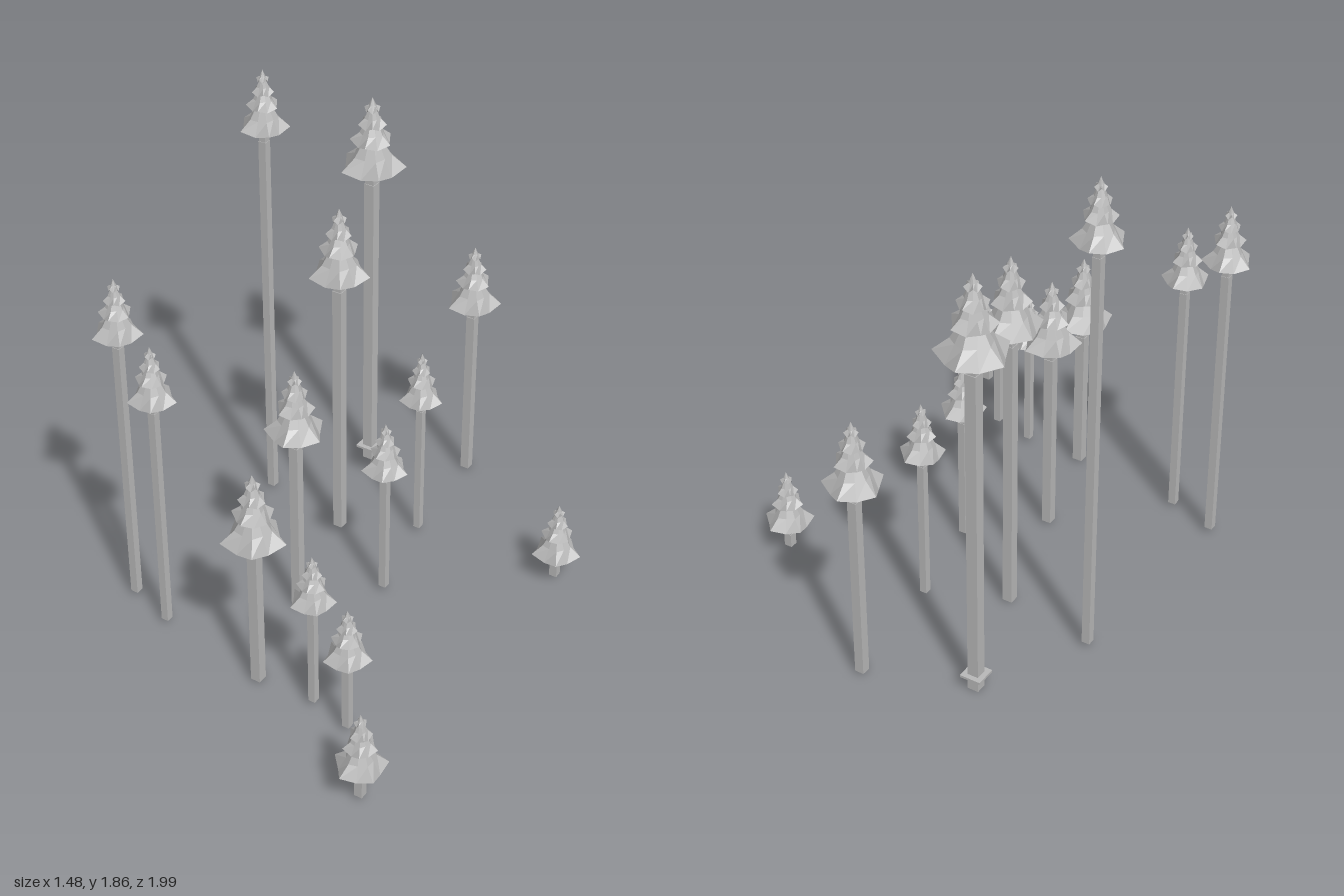
import * as THREE from 'three';

const grey = new THREE.MeshStandardMaterial({ color: 0xb8b8b8 });
grey.name = 'grey';

// x, z, foot y, foliage bottom y, top y, foliage radius, turn in degrees
const TREES = [
  [-0.363, -0.74, 0.0, 1.345, 1.645, 0.131, -97],
  [0.013, -0.885, 0.01, 0.79, 1.05, 0.109, -96],
  [-0.58, -0.35, 0.02, 1.625, 1.86, 0.096, -100],
  [-0.218, -0.285, 0.01, 1.155, 1.44, 0.117, -88],
  [0.057, -0.425, 0.025, 0.625, 0.84, 0.085, -80],
  [0.643, -0.458, 0.02, 0.12, 0.35, 0.096, -81],
  [0.13, -0.05, 0.025, 0.565, 0.775, 0.089, -78],
  [-0.095, 0.195, 0.01, 0.795, 1.065, 0.113, -65],
  [-0.645, 0.47, 0.02, 1.17, 1.4, 0.094, -98],
  [-0.453, 0.537, 0.02, 1.005, 1.23, 0.09, -87],
  [0.01, 0.612, 0.01, 0.64, 0.925, 0.12, -85],
  [0.247, 0.612, 0.025, 0.475, 0.675, 0.085, -97],
  [0.416, 0.655, 0.025, 0.335, 0.55, 0.089, -89],
  [0.625, 0.903, 0.02, 0.145, 0.385, 0.097, -112],
];

// Foliage tiers as fractions: bottom y, top y, skirt radius, neck radius, turn
const TIERS = [
  [0.0, 0.48, 1.0, 0.2, 0],
  [0.36, 0.7, 0.64, 0.14, 30],
  [0.59, 0.88, 0.43, 0.08, 10],
  [0.8, 1.0, 0.24, 0.0, 45],
];

// A flared five-pointed skirt, closed underneath, with its points slightly raised
function tierGeometry(bottom, top, radius, neck, height, turn) {
  const p = [];
  const ring = (i, r, valley, y, lift) => {
    const a = turn + (i * Math.PI) / 5;
    const k = i % 2 ? r * valley : r;
    return [Math.cos(a) * k, y + (i % 2 ? 0 : lift), Math.sin(a) * k];
  };
  const under = [0, bottom + height * 0.06, 0];
  const waistY = bottom + (top - bottom) * 0.45;
  const waistR = neck + (radius - neck) * 0.46;
  for (let i = 0; i < 10; i++) {
    const [a, b] = [i, i + 1].map((k) => ring(k, radius, 0.77, bottom, height * 0.06));
    const [c, d] = [i, i + 1].map((k) => ring(k, waistR, 0.88, waistY, 0));
    const [e, f] = [i, i + 1].map((k) => ring(k, neck, 0.9, top, 0));
    p.push(...a, ...c, ...b, ...b, ...c, ...d, ...c, ...e, ...d, ...a, ...b, ...under);
    if (neck > 0) p.push(...d, ...e, ...f, ...e, 0, top, 0, ...f);
  }
  const g = new THREE.BufferGeometry();
  g.setAttribute('position', new THREE.Float32BufferAttribute(p, 3));
  g.computeVertexNormals();
  return g;
}

// Square post between two heights
function post(name, width, y0, y1) {
  const m = new THREE.Mesh(new THREE.BoxGeometry(width, y1 - y0, width), grey);
  m.name = name;
  m.position.y = (y0 + y1) / 2;
  return m;
}

function makeTree([x, z, foot, base, top, radius, degrees]) {
  const tree = new THREE.Group();
  tree.name = 'tree';
  tree.position.set(x, 0, z);
  const h = top - base;
  const joint = base - h * 0.2;

  // Long trunk and the slimmer stem that carries the foliage
  tree.add(post('trunk', radius * 0.32, foot, joint));
  tree.add(post('upperTrunk', radius * 0.28, joint, base + h * 0.3));

  TIERS.forEach(([b, t, r, n, turn]) => {
    const g = tierGeometry(base + b * h, base + t * h, r * radius, n * radius, h,
      THREE.MathUtils.degToRad(degrees + turn));
    const m = new THREE.Mesh(g, grey);
    m.name = 'foliageTier';
    tree.add(m);
  });
  return tree;
}

export function createModel() {
  const model = new THREE.Group();
  model.name = 'pineTrees';
  TREES.forEach((t) => model.add(makeTree(t)));

  // Thin square collar near the foot of the largest tree
  const collar = post('collar', 0.08, 0.054, 0.063);
  collar.position.x = TREES[0][0];
  collar.position.z = TREES[0][1];
  model.add(collar);
  return model;
}
